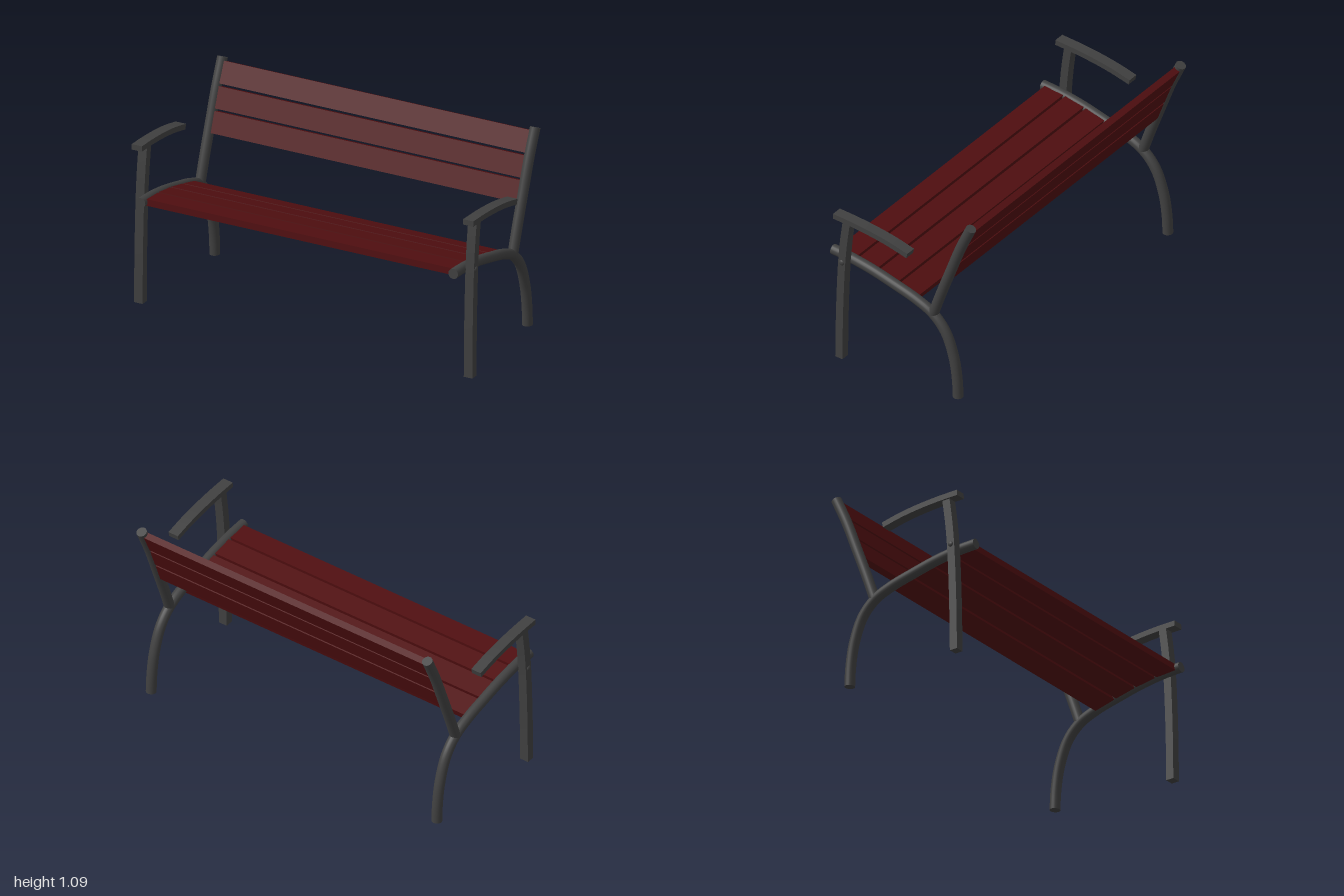
import * as THREE from 'three';
import { toCreasedNormals } from 'three/addons/utils/BufferGeometryUtils.js';

const metal = new THREE.MeshStandardMaterial({ color: 0x404040 });
const wood = new THREE.MeshStandardMaterial({ color: 0x500e10 });

const TUBE_X = 0.915, TUBE_R = 0.028;

// Side-view curves are given as [z, y] pairs
const curve = (pts) => new THREE.CatmullRomCurve3(pts.map(([z, y]) => new THREE.Vector3(0, y, z)), false, 'centripetal');

const seatCurve = curve([[0.45, 0.601], [0.34, 0.594], [0.2, 0.573], [0.06, 0.54], [-0.08, 0.502],
  [-0.185, 0.455], [-0.262, 0.375], [-0.315, 0.24], [-0.337, 0.11], [-0.343, 0.003]]);
const backCurve = curve([[-0.185, 0.455], [-0.235, 0.6], [-0.298, 0.77], [-0.36, 0.935], [-0.425, 1.08]]);
const legCurve = curve([[0.36, 0], [0.355, 0.3], [0.342, 0.6], [0.328, 0.75], [0.312, 0.866]]);
const armCurve = curve([[0.39, 0.876], [0.27, 0.871], [0.14, 0.859], [0.03, 0.842], [-0.078, 0.817]]);

function addMesh(parent, name, geometry, material) {
  const mesh = new THREE.Mesh(geometry, material);
  mesh.name = name;
  parent.add(mesh);
  return mesh;
}

// Round tube with flat end caps
function addTube(parent, name, path, segments) {
  const group = new THREE.Group();
  group.name = name;
  parent.add(group);
  addMesh(group, name + 'Body', new THREE.TubeGeometry(path, segments, TUBE_R, 20), metal);
  for (const t of [0, 1]) {
    const cap = addMesh(group, name + 'Cap', new THREE.CircleGeometry(TUBE_R, 20), metal);
    const p = path.getPointAt(t);
    const dir = path.getTangentAt(t).multiplyScalar(t ? 1 : -1);
    cap.position.copy(p);
    cap.quaternion.setFromUnitVectors(new THREE.Vector3(0, 0, 1), dir);
  }
  return group;
}

// Flat bar: a curve thickened in the side view and extruded across x
function barGeometry(path, thickness, width) {
  const upper = [], lower = [], n = 16;
  for (let i = 0; i <= n; i++) {
    const p = path.getPointAt(i / n), t = path.getTangentAt(i / n);
    const dz = -t.y * thickness / 2, dy = t.z * thickness / 2;
    upper.push(new THREE.Vector2(p.z + dz, p.y + dy));
    lower.unshift(new THREE.Vector2(p.z - dz, p.y - dy));
  }
  const geo = new THREE.ExtrudeGeometry(new THREE.Shape([...upper, ...lower]), { depth: width, bevelEnabled: false });
  geo.translate(0, 0, -width / 2);
  geo.rotateY(-Math.PI / 2);
  return toCreasedNormals(geo, 0.5);
}

// Point on a curve where the given axis reaches a value (the axis is monotonic)
function pointWhere(path, axis, value) {
  const sign = Math.sign(path.getPoint(1)[axis] - path.getPoint(0)[axis]);
  let lo = 0, hi = 1;
  for (let i = 0; i < 30; i++) {
    const mid = (lo + hi) / 2;
    if ((path.getPoint(mid)[axis] - value) * sign < 0) lo = mid; else hi = mid;
  }
  return path.getPoint(lo);
}

// Plank lying along the chord between two points of a curve
function addSlat(parent, name, path, axis, from, to) {
  const a = pointWhere(path, axis, from), b = pointWhere(path, axis, to);
  const slat = addMesh(parent, name, new THREE.BoxGeometry(1.79, 0.036, a.distanceTo(b)), wood);
  slat.position.copy(a).add(b).multiplyScalar(0.5);
  slat.rotation.x = Math.atan2(-(b.y - a.y), b.z - a.z);
}

export function createModel() {
  const bench = new THREE.Group();
  bench.name = 'bench';

  // End frames, mirrored left and right
  for (const side of [1, -1]) {
    const frame = new THREE.Group();
    frame.name = side > 0 ? 'leftFrame' : 'rightFrame';
    bench.add(frame);

    addTube(frame, 'seatAndRearLegTube', seatCurve, 48).position.x = side * TUBE_X;
    addTube(frame, 'backrestTube', backCurve, 16).position.x = side * TUBE_X;
    addMesh(frame, 'frontLeg', barGeometry(legCurve, 0.045, 0.05), metal).position.x = side * 0.965;
    addMesh(frame, 'armrest', barGeometry(armCurve, 0.03, 0.06), metal).position.x = side * 0.97;

    // Domed bolt joining the leg to the seat tube
    const bolt = addMesh(frame, 'bolt', new THREE.SphereGeometry(0.016, 16, 12), metal);
    bolt.scale.x = 0.6;
    bolt.position.set(side * 0.988, 0.6, 0.343);
  }

  // Seat slats, front to back
  const seat = new THREE.Group();
  seat.name = 'seat';
  bench.add(seat);
  for (let i = 0; i < 4; i++) {
    const front = 0.425 - i * 0.129;
    addSlat(seat, 'seatSlat', seatCurve, 'z', front - 0.117, front);
  }

  // Backrest slats, bottom to top
  const backrest = new THREE.Group();
  backrest.name = 'backrest';
  bench.add(backrest);
  for (let i = 0; i < 3; i++) {
    const bottom = 0.712 + i * 0.121;
    addSlat(backrest, 'backrestSlat', backCurve, 'y', bottom, bottom + 0.109);
  }
  return bench;
}
